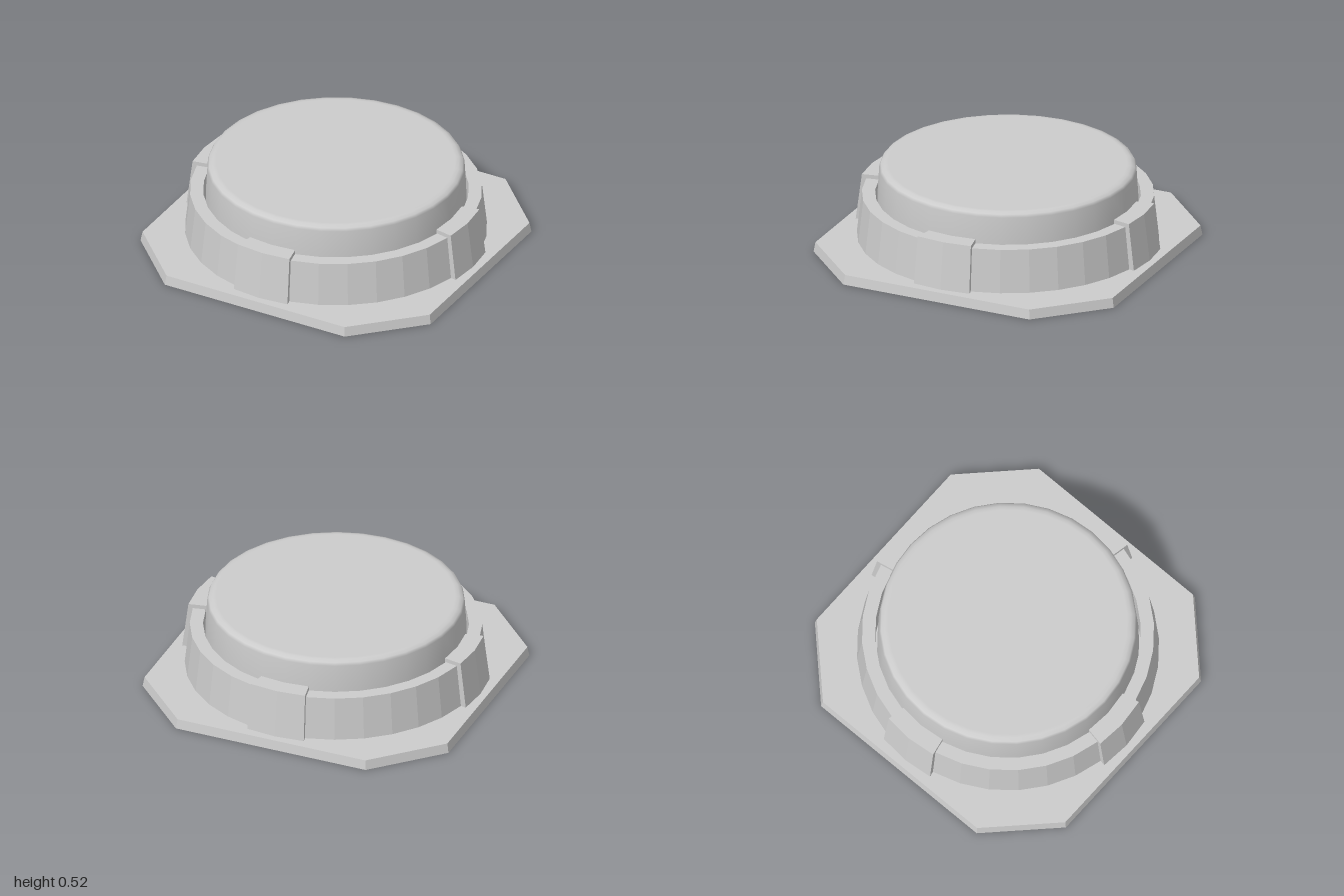
import * as THREE from 'three';

const SEGMENTS = 32;
const flat = new THREE.MeshStandardMaterial({ color: 0xcccccc, flatShading: true, side: THREE.DoubleSide });
const smooth = new THREE.MeshStandardMaterial({ color: 0xcccccc });

const toPoints = (list) => list.map(([r, y]) => new THREE.Vector2(r, y));

function mesh(name, geometry, material) {
  const m = new THREE.Mesh(geometry, material);
  m.name = name;
  return m;
}

// Octagonal plate whose top is slightly smaller than its bottom
function basePlate() {
  const c = 0.62;
  const shape = new THREE.Shape(toPoints([
    [1, -c], [1, c], [c, 1], [-c, 1], [-1, c], [-1, -c], [-c, -1], [c, -1],
  ]));
  const geo = new THREE.ExtrudeGeometry(shape, { depth: 0.06, bevelEnabled: false });
  geo.rotateX(-Math.PI / 2);
  const p = geo.attributes.position;
  for (let i = 0; i < p.count; i++) {
    if (p.getY(i) > 0.03) p.setXYZ(i, p.getX(i) * 0.99, p.getY(i), p.getZ(i) * 0.99);
  }
  return mesh('basePlate', geo, flat);
}

// Raised grip on the collar: a two-facet sector with closed ends
function collarTab(angle) {
  const tab = new THREE.Group();
  tab.name = 'collarTab';
  const half = (Math.PI * 2) / SEGMENTS;
  const profile = toPoints([[0.945, 0.06], [0.907, 0.355], [0.795, 0.355], [0.795, 0.06]]);
  tab.add(mesh('tabBody', new THREE.LatheGeometry(profile, 2, -half, half * 2), flat));
  for (const side of [-1, 1]) {
    const end = new THREE.ShapeGeometry(new THREE.Shape(profile));
    end.rotateY(side * half - Math.PI / 2);
    tab.add(mesh('tabEnd', end, flat));
  }
  tab.rotation.y = angle;
  return tab;
}

export function createModel() {
  const model = new THREE.Group();
  model.name = 'pushButton';
  model.add(basePlate());

  // Faceted, tapered collar
  const collar = toPoints([[0.91, 0.06], [0.88, 0.33], [0.8, 0.33], [0.8, 0.06]]);
  model.add(mesh('collar', new THREE.LatheGeometry(collar, SEGMENTS), flat));
  for (let i = 0; i < 4; i++) model.add(collarTab((i * Math.PI) / 2));

  // Round cap with a softened rim
  const cap = toPoints([
    [0.79, 0.06], [0.785, 0.33], [0.775, 0.495], [0.765, 0.513], [0.742, 0.523], [0.72, 0.525], [0, 0.525],
  ]);
  model.add(mesh('buttonCap', new THREE.LatheGeometry(cap, SEGMENTS), smooth));

  return model;
}
